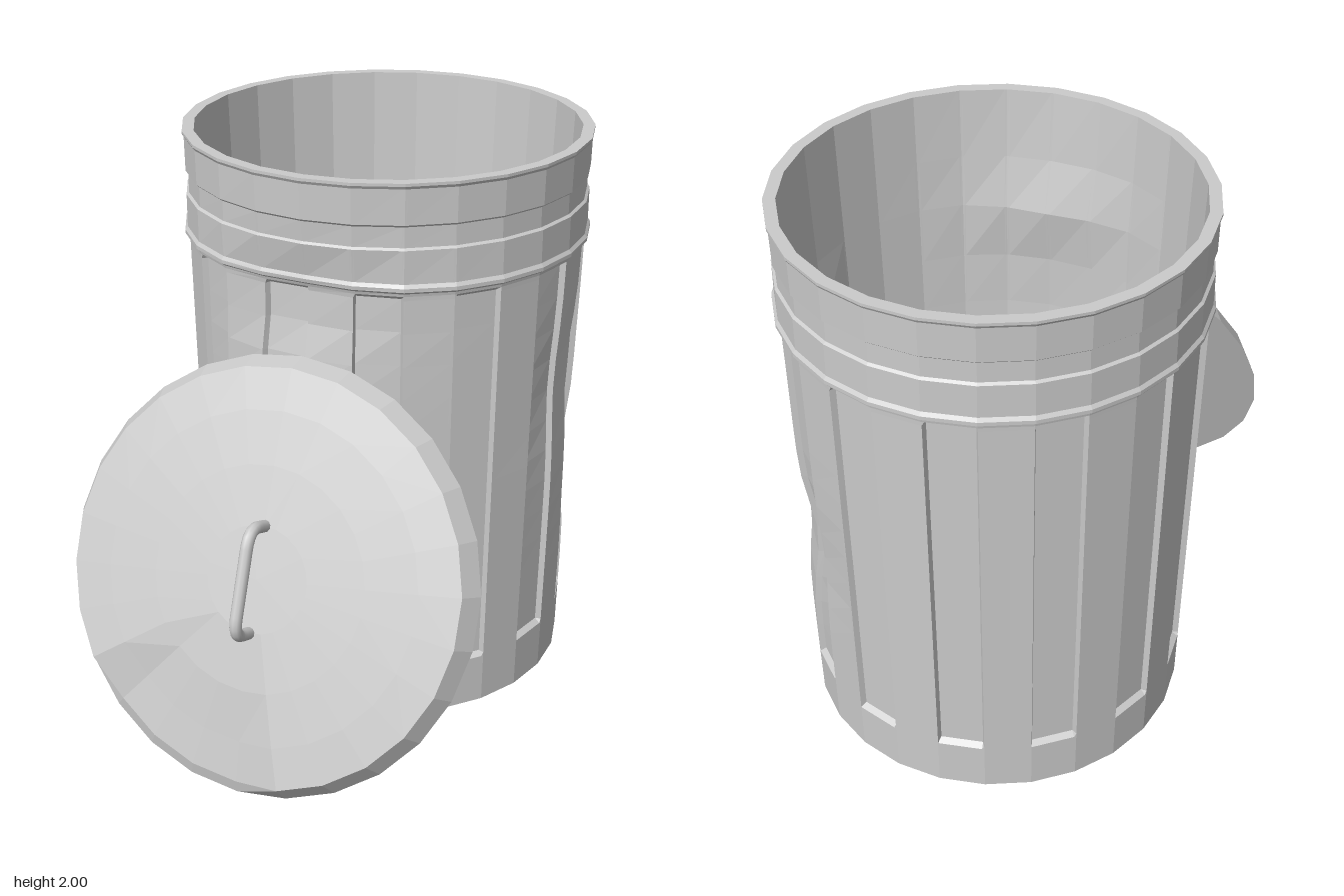
import * as THREE from 'three';

const SIDES = 26;
const STEP = (Math.PI * 2) / SIDES;

const material = () => new THREE.MeshStandardMaterial({ color: 0xcccccc, flatShading: true });

// Faceted shell: sweeps a profile of rows round the y axis.
// cuts = fractions across each facet; place(row, angle) gives a corner radius and height;
// inset(row, facet, cut) gives a depth pushed in towards the axis.
function shell(rows, cuts, place, inset = () => 0) {
  const positions = [];
  const index = [];
  const columns = SIDES * cuts.length;
  const corner = (row, angle) => {
    const [r, y] = place(row, angle);
    return new THREE.Vector3(Math.sin(angle) * r, y, Math.cos(angle) * r);
  };
  rows.forEach((row, j) => {
    for (let facet = 0; facet < SIDES; facet++) {
      const a = corner(row, facet * STEP);
      const b = corner(row, (facet + 1) * STEP);
      const middle = (facet + 0.5) * STEP;
      cuts.forEach((t, c) => {
        const p = a.clone().lerp(b, t);
        const depth = inset(row, facet, c);
        positions.push(p.x - Math.sin(middle) * depth, p.y, p.z - Math.cos(middle) * depth);
      });
    }
    if (j === 0) return;
    for (let i = 0; i < columns; i++) {
      const k = (i + 1) % columns;
      const low = (j - 1) * columns;
      const high = j * columns;
      index.push(low + i, low + k, high + k, low + i, high + k, high + i);
    }
  });
  const geometry = new THREE.BufferGeometry();
  geometry.setAttribute('position', new THREE.Float32BufferAttribute(positions, 3));
  geometry.setIndex(index);
  geometry.computeVertexNormals();
  return geometry;
}

// Knocks in the wall: angle from the front, height, angular and vertical spread, depth
const DENTS = [
  [-0.02, 1.56, 0.36, 0.17, 0.055],
  [1.62, 1.15, 0.22, 0.22, 0.03],
  [2.1, 0.75, 0.28, 0.2, 0.045],
];

function dentDepth(angle, y) {
  return DENTS.reduce((sum, [a, h, wa, wh, depth]) => {
    const da = Math.atan2(Math.sin(angle - a), Math.cos(angle - a)) / wa;
    const dy = (y - h) / wh;
    return sum + depth * Math.exp(-da * da - dy * dy);
  }, 0);
}

function createCan() {
  const rows = [];
  const add = (r, y, panel = false) => rows.push({ r, y, panel });
  const bodyRadius = (y) => 0.67 + 0.019 * y;

  // Base and panelled body
  add(0, 0);
  add(0.67, 0);
  add(bodyRadius(0.185), 0.185);
  const bands = 12;
  for (let i = 0; i <= bands; i++) {
    const y = 0.2 + (1.4 * i) / bands;
    add(bodyRadius(y), y, true);
  }
  add(0.701, 1.615);

  // Lip, stepped collar and rim
  [[0.703, 1.625], [0.717, 1.635], [0.717, 1.648], [0.708, 1.66], [0.708, 1.775],
    [0.699, 1.782], [0.699, 1.852], [0.708, 1.86], [0.71, 1.98], [0.716, 1.99],
    [0.716, 2], [0.675, 2]].forEach(([r, y]) => add(r, y));

  // Inner wall and floor
  [1.75, 1.56, 1.35, 1.15, 0.9, 0.7, 0.4, 0.04].forEach((y) => add(0.608 + 0.0335 * y, y));
  add(0, 0.04);

  const geometry = shell(
    rows,
    [0, 0.05, 0.95],
    ({ r, y }, angle) => [r > 0 ? r - dentDepth(angle, y) : 0, y],
    // Alternate facets hold a recessed panel
    (row, facet, cut) => (row.panel && facet % 2 === 1 && cut > 0 ? 0.02 : 0),
  );
  const can = new THREE.Mesh(geometry, material());
  can.name = 'can';
  can.position.z = -0.282;
  return can;
}

function createLid() {
  const lid = new THREE.Group();
  lid.name = 'lid';

  // Flat underside, sloped edge and shallow dome, bent in along part of the lower edge
  const rows = [[0, 0, 0], [0.742, 0, 0], [0.702, 0.07, 0.045], [0.56, 0.083, 0.035],
    [0.38, 0.093, 0.012], [0.18, 0.099, 0], [0, 0.1, 0]];
  const plate = new THREE.Mesh(
    shell(rows, [0], ([r, y, bend], angle) => {
      const facet = Math.round(angle / STEP) % SIDES;
      const bent = facet === 0 || facet >= SIDES - 3;
      return [r, bent ? y - bend : y];
    }),
    material(),
  );
  plate.name = 'lidPlate';
  lid.add(plate);

  // Bent bar handle
  const path = new THREE.CurvePath();
  const v = (z, y) => new THREE.Vector3(0, y, z);
  path.add(new THREE.LineCurve3(v(-0.18, 0.07), v(-0.18, 0.15)));
  path.add(new THREE.QuadraticBezierCurve3(v(-0.18, 0.15), v(-0.18, 0.212), v(-0.11, 0.212)));
  path.add(new THREE.LineCurve3(v(-0.11, 0.212), v(0.11, 0.212)));
  path.add(new THREE.QuadraticBezierCurve3(v(0.11, 0.212), v(0.18, 0.212), v(0.18, 0.15)));
  path.add(new THREE.LineCurve3(v(0.18, 0.15), v(0.18, 0.07)));
  const bar = material();
  bar.flatShading = false;
  const handle = new THREE.Mesh(new THREE.TubeGeometry(path, 32, 0.021, 10), bar);
  handle.name = 'lidHandle';
  lid.add(handle);

  // Leans against the front of the can
  lid.position.set(0, 0.695, 0.688);
  lid.rotation.x = Math.acos(0.365);
  return lid;
}

export function createModel() {
  const model = new THREE.Group();
  model.name = 'trashCan';
  model.add(createCan(), createLid());
  return model;
}
